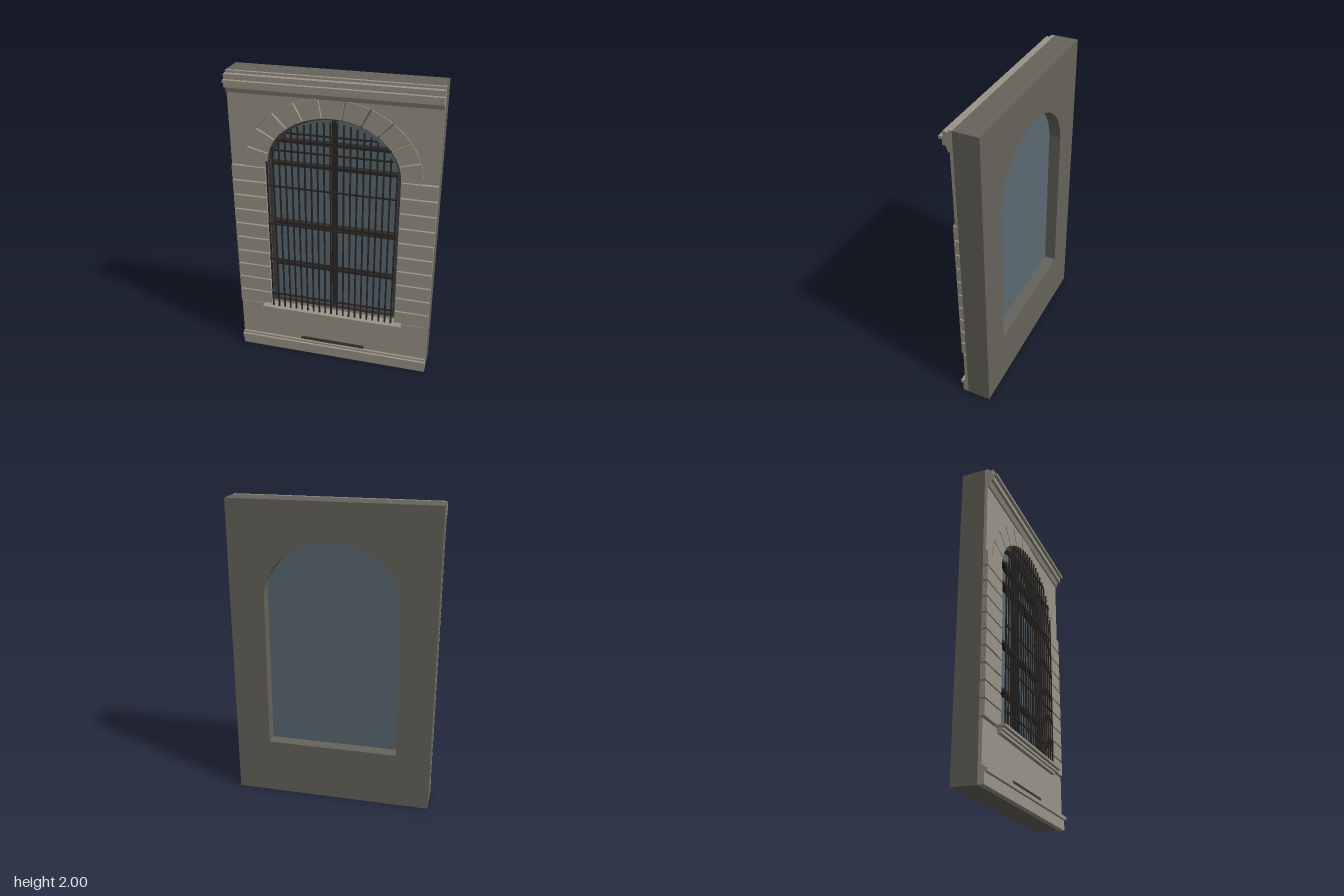
import * as THREE from 'three';

const W = 0.655;                       // half width of the wall
const A = 0.43, B = 0.36, SPRING = 1.395, SILL = 0.375; // arched opening
const OUTER_A = 0.565, OUTER_B = 0.48; // outside of the voussoir ring
const WALL_Z = 0.037;                  // wall front, where the cladding starts

const mat = (name, color) => {
  const m = new THREE.MeshStandardMaterial({ color });
  m.name = name;
  return m;
};

// Arched outline, inset by d from the opening
function archPath(PathType, d = 0) {
  const p = new PathType();
  p.moveTo(-A + d, SILL + d);
  p.lineTo(A - d, SILL + d);
  p.lineTo(A - d, SPRING);
  p.absellipse(0, SPRING, A - d, B - d, 0, Math.PI, false, 0);
  p.closePath();
  return p;
}

// Half width of the opening at height y
const halfWidth = (y, d = 0) => y <= SPRING ? A - d
  : (A - d) * Math.sqrt(Math.max(0, 1 - ((y - SPRING) / (B - d)) ** 2));

export function createModel() {
  const root = new THREE.Group();
  root.name = 'archedWindowWall';
  const wallStone = mat('dark stone', 0x66635b);
  const stone = mat('light stone', 0x9a9487);
  const glassMat = mat('blue grey glass', 0x5a6a73);
  const frameMat = mat('dark frame', 0x403d3e);
  const iron = mat('black iron', 0x2a2725);

  const group = (name) => {
    const g = new THREE.Group();
    g.name = name;
    root.add(g);
    return g;
  };
  const add = (name, geo, material, parent = root) => {
    const m = new THREE.Mesh(geo, material);
    m.name = name;
    parent.add(m);
    return m;
  };
  // Box given by its limits on each axis
  const box = (name, x0, x1, y0, y1, z0, z1, material, parent) => {
    const m = add(name, new THREE.BoxGeometry(x1 - x0, y1 - y0, z1 - z0), material, parent);
    m.position.set((x0 + x1) / 2, (y0 + y1) / 2, (z0 + z1) / 2);
    return m;
  };
  // Flat shape extruded between two depths
  const slab = (name, shape, z0, z1, material, parent) => {
    const geo = new THREE.ExtrudeGeometry(shape, { depth: z1 - z0, bevelEnabled: false, curveSegments: 40 });
    geo.translate(0, 0, z0);
    return add(name, geo, material, parent);
  };
  // Moulding from a (z, y) profile, running along x
  const moulding = (name, points, halfLength, material) => {
    const shape = new THREE.Shape(points.map(([z, y]) => new THREE.Vector2(-z, y)));
    const geo = new THREE.ExtrudeGeometry(shape, { depth: halfLength * 2, bevelEnabled: false });
    geo.translate(0, 0, -halfLength);
    geo.rotateY(Math.PI / 2);
    return add(name, geo, material);
  };

  // Wall core with the arched opening
  const wall = new THREE.Shape([
    new THREE.Vector2(-W, 0), new THREE.Vector2(W, 0),
    new THREE.Vector2(W, 2), new THREE.Vector2(-W, 2),
  ]);
  wall.holes.push(archPath(THREE.Path));
  slab('wall', wall, -0.118, WALL_Z, wallStone);

  // Upper cladding around the voussoir ring
  const upper = new THREE.Shape();
  upper.moveTo(-W, 1.4);
  upper.lineTo(-W, 1.99);
  upper.lineTo(W, 1.99);
  upper.lineTo(W, 1.4);
  upper.lineTo(OUTER_A, 1.4);
  upper.absellipse(0, SPRING + 0.005, OUTER_A, OUTER_B - 0.005, 0, Math.PI, false, 0);
  upper.closePath();
  slab('upperCladding', upper, WALL_Z, 0.056, stone);

  // Eleven voussoirs separated by open joints
  const voussoirs = group('voussoirs');
  const COUNT = 11, step = Math.PI / COUNT, gap = 0.01;
  for (let i = 0; i < COUNT; i++) {
    const t0 = i * step + gap, t1 = (i + 1) * step - gap;
    const s = new THREE.Shape();
    s.absellipse(0, SPRING, OUTER_A, OUTER_B, t0, t1, false, 0);
    s.lineTo(A * Math.cos(t1), SPRING + B * Math.sin(t1));
    s.absellipse(0, SPRING, A, B, t1, t0, true, 0);
    s.closePath();
    slab('voussoir', s, WALL_Z, 0.062, stone, voussoirs);
  }

  // Rusticated side blocks
  const blocks = group('sideBlocks');
  const ROWS = 10, rowH = (1.4 - 0.362) / ROWS;
  for (let i = 0; i < ROWS; i++) {
    const y0 = 0.362 + i * rowH + 0.005, y1 = y0 + rowH - 0.01;
    box('leftBlock', A, W, y0, y1, WALL_Z, 0.069, stone, blocks);
    box('rightBlock', -W, -A, y0, y1, WALL_Z, 0.069, stone, blocks);
  }

  // Lower cladding, plinth and cornice
  box('lowerCladding', -W, W, 0.09, 0.356, WALL_Z, 0.058, stone);
  moulding('plinth', [[WALL_Z, 0], [0.074, 0], [0.074, 0.066], [0.091, 0.066],
    [0.091, 0.087], [0.074, 0.087], [0.074, 0.1], [WALL_Z, 0.1]], W, stone);
  moulding('cornice', [[WALL_Z, 1.87], [0.066, 1.87], [0.079, 1.905],
    [0.097, 1.905], [0.097, 1.937], [0.117, 1.937], [0.117, 1.955], [0.092, 1.955],
    [0.092, 1.986], [0.058, 1.986], [0.058, 2], [WALL_Z, 2]], W, stone);

  // Stepped window sill
  const sill = group('sill');
  box('sillSlab', -0.48, 0.48, 0.36, SILL, WALL_Z, 0.117, stone, sill);
  box('sillStep', -0.467, 0.467, 0.346, 0.36, WALL_Z, 0.096, stone, sill);
  box('sillBed', -0.459, 0.459, 0.33, 0.346, WALL_Z, 0.082, stone, sill);

  // Vent slot with small slats
  const vent = group('vent');
  box('ventPlate', -0.225, 0.225, 0.101, 0.125, 0.055, 0.06, frameMat, vent);
  for (let i = 0; i < 23; i++) {
    const x = -0.22 + i * 0.02;
    box('ventSlat', x - 0.004, x + 0.004, 0.101, 0.124, 0.058, 0.064, frameMat, vent);
  }

  // Glass behind the window frame
  slab('glass', archPath(THREE.Shape, 0.002), -0.042, -0.036, glassMat);
  const frame = archPath(THREE.Shape, 0.001);
  frame.holes.push(archPath(THREE.Path, 0.024));
  slab('windowFrame', frame, -0.036, 0.012, frameMat);

  // Mullion and transoms
  const lattice = group('windowBars');
  box('mullion', -0.012, 0.012, SILL + 0.02, SPRING + B - 0.02, -0.036, 0.008, iron, lattice);
  for (const y of [0.675, 0.99, 1.41, 1.565]) {
    const w = halfWidth(y, 0.015);
    box('transom', -w, w, y - 0.01, y + 0.01, -0.036, 0.006, iron, lattice);
  }

  // Iron grille standing in front of the opening
  const grille = group('grille');
  for (let i = -10; i <= 10; i++) {
    const x = i * 0.041;
    const top = SPRING + (B - 0.014) * Math.sqrt(1 - (x / (A - 0.014)) ** 2);
    box('grilleBar', x - 0.005, x + 0.005, 0.37, top, 0.082, 0.09, iron, grille);
  }
  for (const y of [0.478, 0.755, 1.02, 1.29, 1.535, 1.652]) {
    const w = halfWidth(y, 0.012);
    box('grilleRail', -w, w, y - 0.005, y + 0.005, 0.081, 0.091, iron, grille);
  }
  return root;
}
